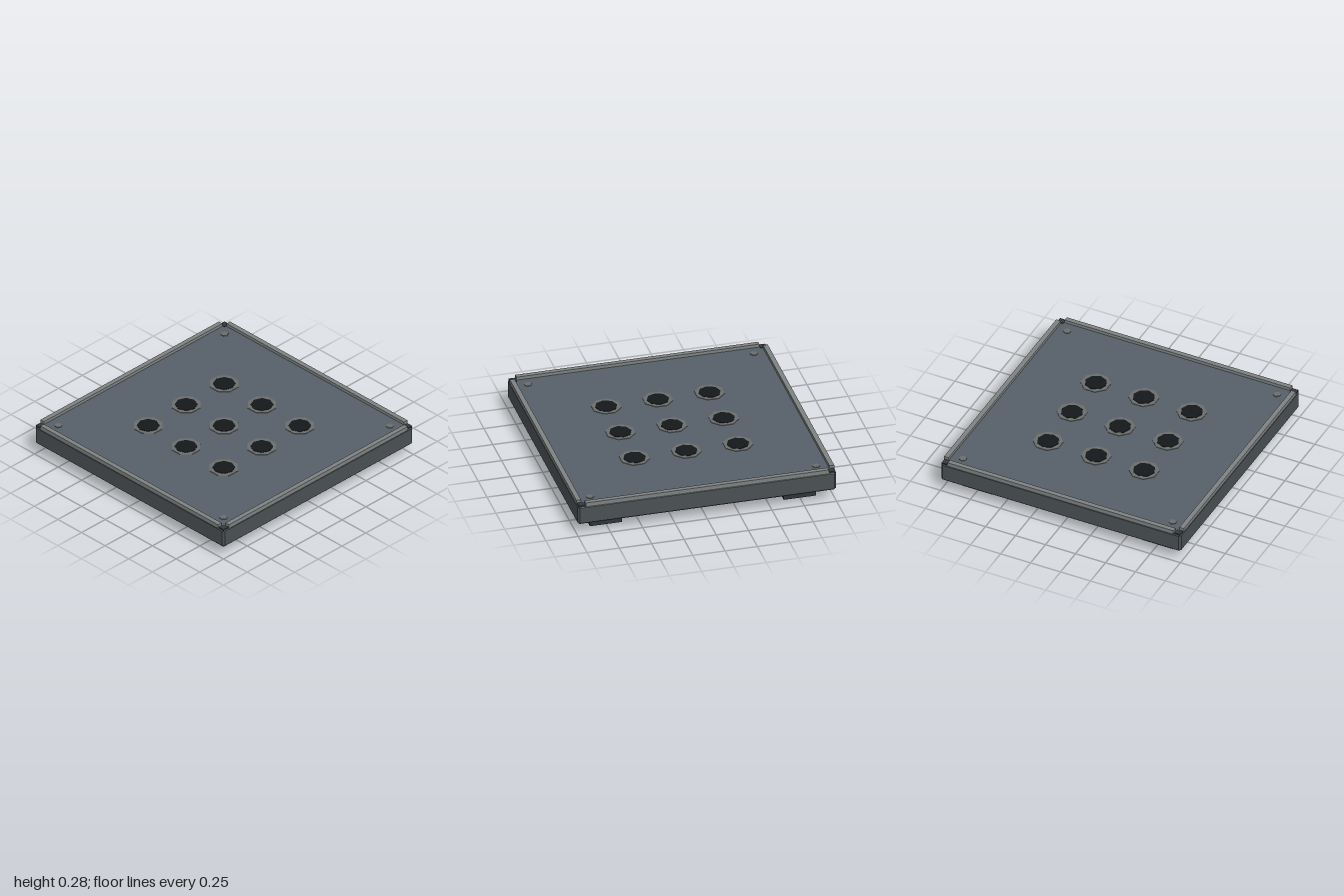
import * as THREE from 'three';

const mat = (color) => new THREE.MeshStandardMaterial({ color, flatShading: true });
const M = {
  body: mat(0x4a5054), deck: mat(0x566068), under: mat(0x222324), rail: mat(0x7e8282),
  corner: mat(0x33393d), ring: mat(0x6c6e6e), hole: mat(0x15181a), foot: mat(0x2e3538),
};

function add(parent, name, geometry, material, x, y, z) {
  const mesh = new THREE.Mesh(geometry, material);
  mesh.name = name;
  mesh.position.set(x, y, z);
  parent.add(mesh);
  return mesh;
}

// Box given by its bottom and top heights
function block(parent, name, w, d, y0, y1, material, x, z) {
  return add(parent, name, new THREE.BoxGeometry(w, y1 - y0, d), material, x, (y0 + y1) / 2, z);
}

// Square with cut corners
function cutSquare(half, cut) {
  const a = half, b = half - cut;
  return new THREE.Shape([
    [a, -b], [a, b], [b, a], [-b, a], [-a, b], [-a, -b], [-b, -a], [b, -a],
  ].map(([x, y]) => new THREE.Vector2(x, y)));
}

export function createModel() {
  const model = new THREE.Group();
  model.name = 'ventedPlatform';

  // Main slab with chamfered edges
  const slab = new THREE.ExtrudeGeometry(cutSquare(0.99, 0.01), {
    depth: 0.13, bevelEnabled: true, bevelThickness: 0.01, bevelSize: 0.01, bevelSegments: 1,
  });
  slab.rotateX(-Math.PI / 2);
  add(model, 'body', slab, M.body, 0, 0.11, 0);
  block(model, 'deck', 1.93, 1.93, 0.24, 0.253, M.deck, 0, 0);
  block(model, 'underside', 1.97, 1.97, 0.097, 0.11, M.under, 0, 0);

  // Raised edge rails, one per side
  for (const s of [-1, 1]) {
    block(model, 'edgeRail', 1.88, 0.037, 0.245, 0.278, M.rail, 0, s * 0.98);
    block(model, 'sideRail', 0.037, 1.88, 0.245, 0.278, M.rail, s * 0.98, 0);
  }

  // Corner caps, deck bolts and feet
  const boltGeo = new THREE.CylinderGeometry(0.03, 0.03, 0.015, 6);
  for (const sx of [-1, 1]) for (const sz of [-1, 1]) {
    block(model, 'cornerCap', 0.05, 0.05, 0.24, 0.257, M.corner, sx * 0.968, sz * 0.968);
    add(model, 'bolt', boltGeo, M.ring, sx * 0.875, 0.2505, sz * 0.875);
    const foot = new THREE.Group();
    foot.name = 'foot';
    block(foot, 'footStem', 0.107, 0.107, 0.03, 0.1, M.foot, 0, 0);
    block(foot, 'footPad', 0.25, 0.25, 0, 0.035, M.foot, 0, 0);
    foot.position.set(sx * 0.75, 0, sz * 0.75);
    model.add(foot);
  }

  // Three by three grid of vents: a flat collar round a dark opening
  const ringGeo = new THREE.CylinderGeometry(0.115, 0.115, 0.012, 8, 1, false, Math.PI / 8);
  const holeGeo = new THREE.CylinderGeometry(0.085, 0.085, 0.012, 8);
  for (const x of [-0.4, 0, 0.4]) for (const z of [-0.4, 0, 0.4]) {
    add(model, 'ventCollar', ringGeo, M.ring, x, 0.251, z);
    add(model, 'ventOpening', holeGeo, M.hole, x, 0.254, z);
  }
  return model;
}
